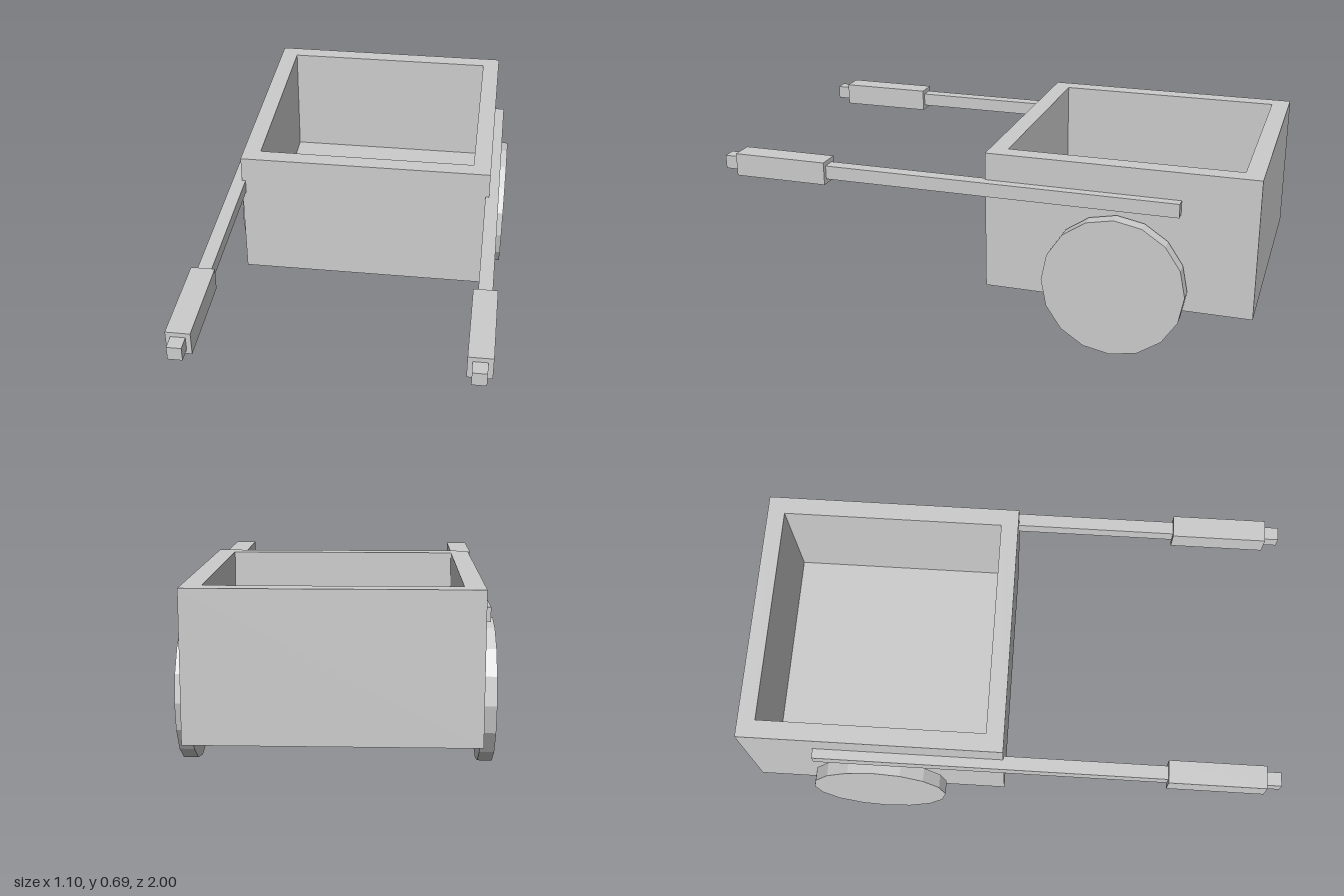
import * as THREE from 'three';

const material = new THREE.MeshStandardMaterial({ color: 0xcccccc, flatShading: true });

function addMesh(parent, name, geometry, x, y, z) {
  const mesh = new THREE.Mesh(geometry, material);
  mesh.name = name;
  mesh.position.set(x, y, z);
  parent.add(mesh);
  return mesh;
}

function rectangle(target, halfX, halfY) {
  target.moveTo(-halfX, -halfY);
  target.lineTo(halfX, -halfY);
  target.lineTo(halfX, halfY);
  target.lineTo(-halfX, halfY);
  target.closePath();
  return target;
}

export function createModel() {
  const cart = new THREE.Group();
  cart.name = 'handcart';

  // Open-topped tray: a rim-shaped wall standing on a floor slab
  const tray = new THREE.Group();
  tray.name = 'tray';
  tray.position.set(0, 0.18, -0.512);
  cart.add(tray);

  const floorThickness = 0.06;
  const outline = rectangle(new THREE.Shape(), 0.488, 0.488);
  outline.holes.push(rectangle(new THREE.Path(), 0.42, 0.422));
  const walls = new THREE.ExtrudeGeometry(outline, { depth: 0.515, bevelEnabled: false });
  walls.rotateX(-Math.PI / 2);
  addMesh(tray, 'trayWalls', walls, 0, 0, 0);
  addMesh(tray, 'trayFloor', new THREE.BoxGeometry(0.84, floorThickness, 0.844), 0, floorThickness / 2, 0);

  // Wheel, shaft and grip on each side
  for (const [side, label] of [[1, 'left'], [-1, 'right']]) {
    const wheel = new THREE.CylinderGeometry(0.259, 0.259, 0.052, 16);
    wheel.rotateZ(Math.PI / 2);
    addMesh(cart, label + 'Wheel', wheel, side * 0.524, 0.259, -0.51);

    const handle = new THREE.Group();
    handle.name = label + 'Handle';
    handle.position.set(side * 0.499, 0.569, 0);
    cart.add(handle);
    addMesh(handle, label + 'Shaft', new THREE.BoxGeometry(0.051, 0.051, 1.732), 0, 0, 0.134);
    addMesh(handle, label + 'Grip', new THREE.BoxGeometry(0.086, 0.086, 0.36), 0, 0, 0.765);
  }

  return cart;
}
